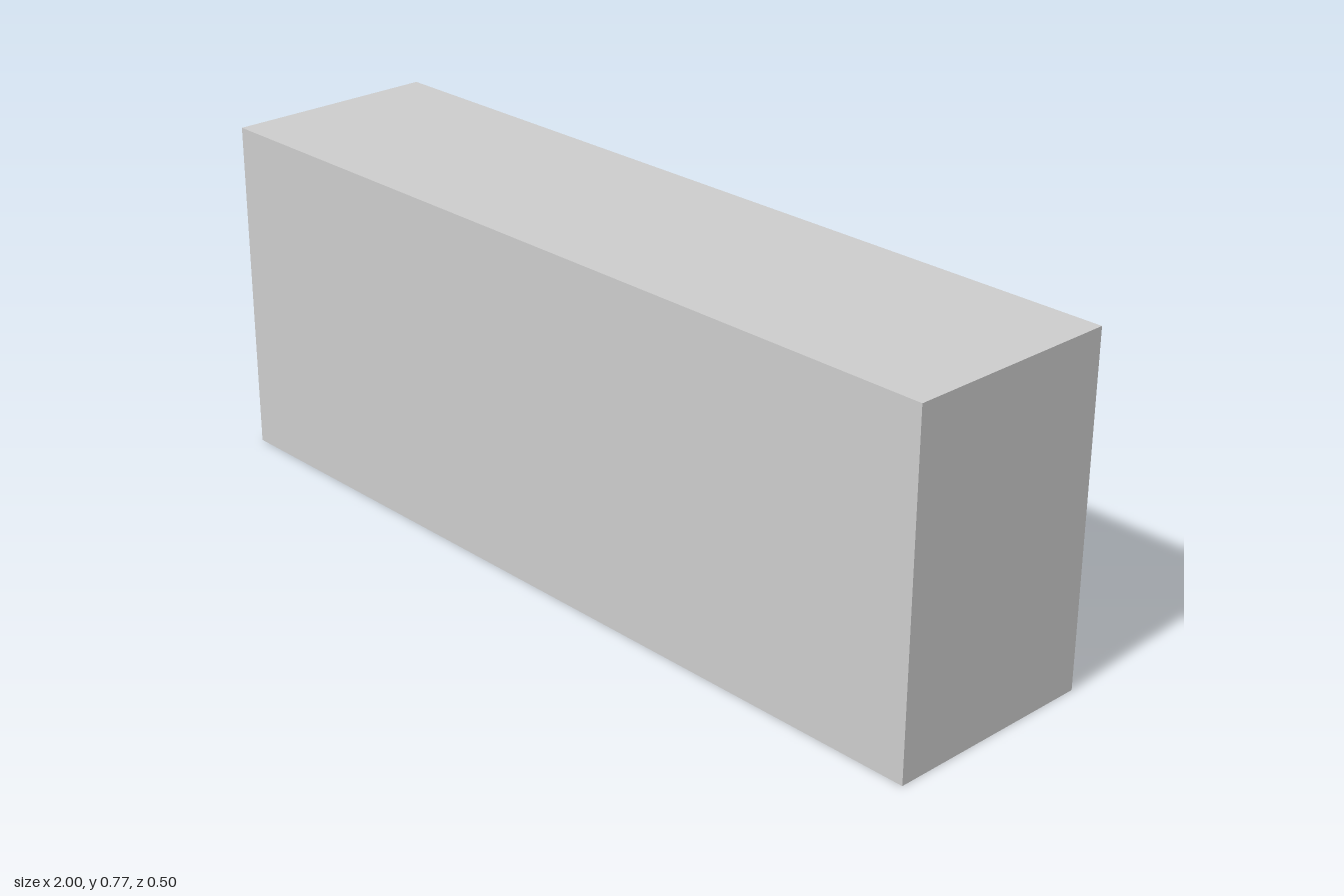
import * as THREE from 'three';

const W = 2, H = 0.77, D = 0.495;
const PANEL_Z = -0.1, TUBE_Z = -0.15, RADIUS = 0.062;

export function createModel() {
  const model = new THREE.Group();
  const grey = new THREE.MeshStandardMaterial({ color: 0xcccccc, side: THREE.DoubleSide });
  const black = new THREE.MeshStandardMaterial({ color: 0x0a0a0a, side: THREE.DoubleSide });
  const red = new THREE.MeshStandardMaterial({ color: 0xa03636, side: THREE.DoubleSide });

  const sheet = (name, w, h, pos, rot, material) => {
    const mesh = new THREE.Mesh(new THREE.PlaneGeometry(w, h), material);
    mesh.name = name;
    mesh.position.set(...pos);
    mesh.rotation.set(...rot);
    model.add(mesh);
  };

  // Thin case, open at the back
  const q = Math.PI / 2;
  sheet('frontWall', W, H, [0, H / 2, D / 2], [0, 0, 0], grey);
  sheet('topWall', W, D, [0, H, 0], [-q, 0, 0], grey);
  sheet('bottomWall', W, D, [0, 0, 0], [q, 0, 0], grey);
  sheet('leftWall', D, H, [W / 2, H / 2, 0], [0, q, 0], grey);
  sheet('rightWall', D, H, [-W / 2, H / 2, 0], [0, -q, 0], grey);

  // Dark panel recessed into the open back
  sheet('recessedPanel', W, H, [0, H / 2, PANEL_Z], [0, Math.PI, 0], black);

  // Wavy open-ended tube running along the panel
  const path = new THREE.CatmullRomCurve3([
    [0.93, 0.228], [0.815, 0.365], [0.54, 0.275], [0.385, 0.487], [0.182, 0.233], [-0.005, 0.545],
    [-0.21, 0.25], [-0.385, 0.481], [-0.645, 0.18], [-0.795, 0.275], [-0.88, 0.25], [-0.925, 0.2],
  ].map(([x, y]) => new THREE.Vector3(x, y, TUBE_Z)));
  const tube = new THREE.Mesh(new THREE.TubeGeometry(path, 200, RADIUS, 24), red);
  tube.name = 'wavyTube';
  model.add(tube);
  return model;
}
